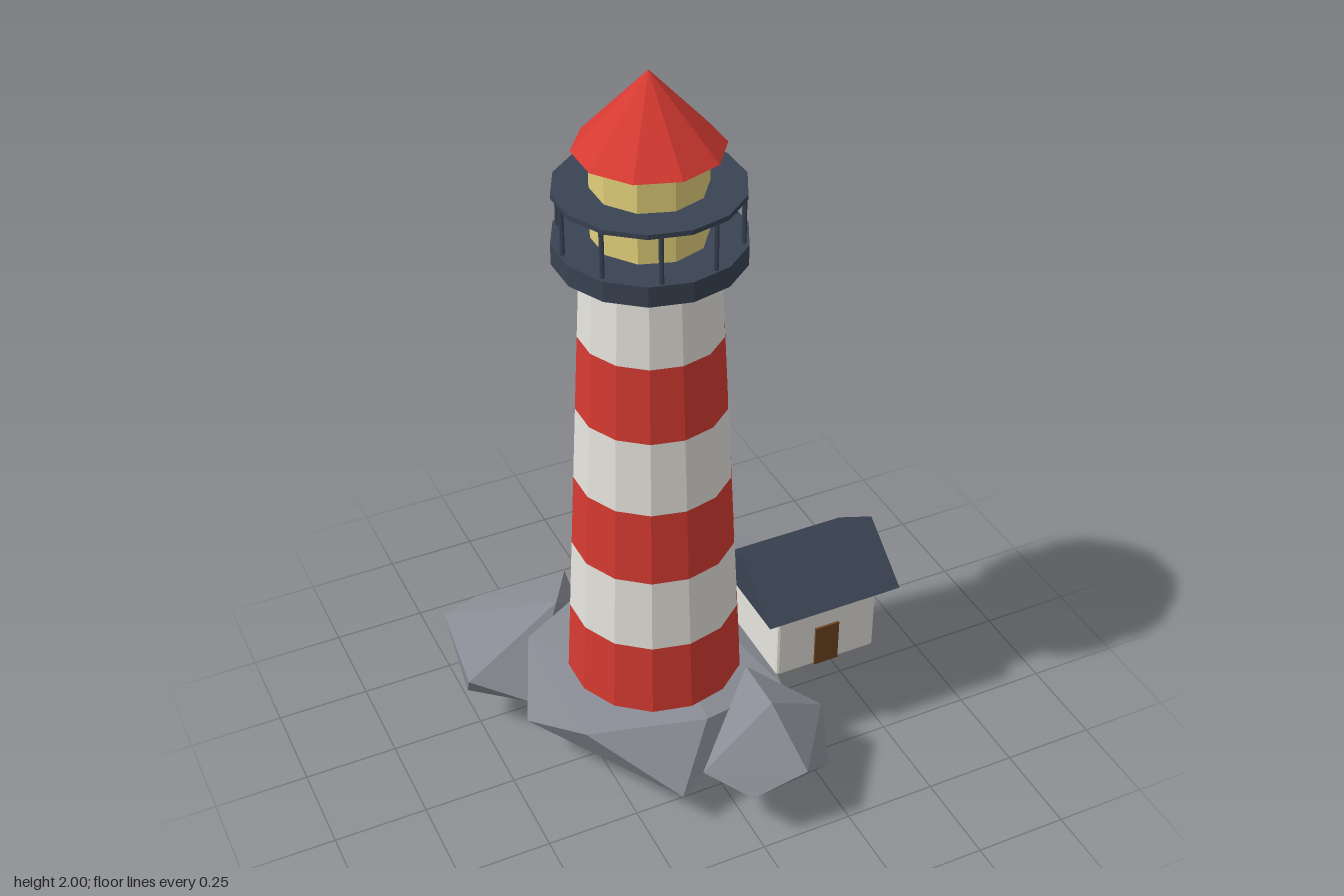
import * as THREE from 'three';
import { ConvexGeometry } from 'three/addons/geometries/ConvexGeometry.js';
import { RoundedBoxGeometry } from 'three/addons/geometries/RoundedBoxGeometry.js';

const TX = -0.07, TZ = -0.025; // tower axis

function material(name, color) {
  const m = new THREE.MeshStandardMaterial({ color });
  m.name = name;
  return m;
}

// Give a geometry one normal per face
function faceted(geometry) {
  const g = geometry.index ? geometry.toNonIndexed() : geometry;
  g.computeVertexNormals();
  return g;
}

export function createModel() {
  const model = new THREE.Group();
  model.name = 'lighthouse';
  const red = material('red paint', 0xd63a32);
  const white = material('white paint', 0xe6e4dd);
  const navy = material('dark slate', 0x3a4352);
  const glass = material('lamp glass', 0xe3d07a);
  const stone = material('grey stone', 0x8a8d95);
  const wood = material('brown wood', 0x6e451f);

  function add(parent, name, geometry, mat, x = 0, y = 0, z = 0) {
    const mesh = new THREE.Mesh(faceted(geometry), mat);
    mesh.name = name;
    mesh.position.set(x, y, z);
    parent.add(mesh);
    return mesh;
  }
  // Faceted drum on the tower axis between two heights
  function drum(parent, name, rTop, rBottom, y0, y1, sides, mat, open = false) {
    const g = new THREE.CylinderGeometry(rTop, rBottom, y1 - y0, sides, 1, open);
    return add(parent, name, g, mat, TX, (y0 + y1) / 2, TZ);
  }

  // Rocks: hulls around a few corners
  const rocks = {
    mainRock: [
      [-0.04, 0, -0.04], [-0.36, 0.29, -0.21], [0.055, 0.32, -0.415], [-0.35, 0.25, 0.16],
      [-0.43, 0.14, -0.06], [-0.16, 0.11, 0.345], [-0.05, 0.27, 0.26], [0.27, 0.22, -0.1],
      [0.2, 0.24, 0.2], [0.28, 0.12, 0.03], [0.14, 0.12, -0.36], [-0.22, 0.11, -0.34],
    ],
    backRightRock: [
      [-0.515, 0.235, -0.455], [-0.41, 0.24, -0.485], [-0.15, 0.26, -0.46], [-0.24, 0.3, -0.3],
      [-0.545, 0.22, -0.185], [-0.4, 0.15, -0.115], [-0.53, 0.13, -0.25], [-0.31, 0.06, -0.33],
      [-0.42, 0.12, -0.41], [-0.2, 0.12, -0.42], [-0.15, 0.2, -0.36],
    ],
    backLeftRock: [
      [0.06, 0.24, -0.42], [0.28, 0.23, -0.485], [0.44, 0.22, -0.385], [0.44, 0.19, -0.25],
      [0.385, 0.15, -0.12], [0.27, 0.27, -0.25], [0.4, 0.14, -0.3], [0.28, 0.11, -0.2],
      [0.25, 0.12, -0.4], [0.12, 0.14, -0.25], [0.2, 0.22, -0.12],
    ],
    frontRock: [
      [-0.12, 0.215, 0.38], [-0.02, 0.16, 0.47], [0.13, 0.2, 0.48], [0.23, 0.13, 0.42],
      [0.275, 0.21, 0.285], [0.12, 0.29, 0.145], [0.1, 0.325, 0.33], [0.01, 0.11, 0.38],
      [0.15, 0.1, 0.3], [0, 0.12, 0.22],
    ],
  };
  for (const [name, corners] of Object.entries(rocks)) {
    add(model, name, new ConvexGeometry(corners.map((c) => new THREE.Vector3(...c))), stone);
  }

  // Tapering tower in six alternating bands
  const tower = new THREE.Group();
  tower.name = 'tower';
  model.add(tower);
  const y0 = 0.28, y1 = 1.53, bands = 6;
  const radiusAt = (t) => 0.234 + (0.17 - 0.234) * t;
  for (let i = 0; i < bands; i++) {
    const a = i / bands, b = (i + 1) / bands;
    drum(tower, 'towerBand' + (i + 1), radiusAt(b), radiusAt(a),
      y0 + (y1 - y0) * a, y0 + (y1 - y0) * b, 14, i % 2 ? white : red, i > 0);
  }

  // Gallery deck, rail and posts
  const gallery = new THREE.Group();
  gallery.name = 'gallery';
  model.add(gallery);
  drum(gallery, 'deck', 0.235, 0.235, 1.53, 1.583, 14, navy);
  drum(gallery, 'rail', 0.23, 0.23, 1.703, 1.715, 14, navy);
  for (let i = 0; i < 10; i++) {
    const a = (i / 10) * Math.PI * 2;
    add(gallery, 'railPost' + (i + 1), new THREE.CylinderGeometry(0.006, 0.006, 0.13, 6), navy,
      TX + 0.22 * Math.cos(a), 1.643, TZ + 0.22 * Math.sin(a));
  }

  // Lamp room and cap
  drum(model, 'lampRoom', 0.14, 0.14, 1.58, 1.815, 10, glass);
  add(model, 'towerRoof', new THREE.ConeGeometry(0.18, 0.19, 10), red, TX, 1.905, TZ);

  // Keeper's house
  const house = new THREE.Group();
  house.name = 'house';
  model.add(house);
  add(house, 'walls', new RoundedBoxGeometry(0.295, 0.222, 0.248, 1, 0.008), white, 0.347, 0.354, 0.045);
  add(house, 'door', new THREE.BoxGeometry(0.07, 0.125, 0.009), wood, 0.347, 0.309, 0.171);
  const gable = new THREE.Shape([
    new THREE.Vector2(-0.165, 0), new THREE.Vector2(0.165, 0), new THREE.Vector2(0, 0.123),
  ]);
  const roof = new THREE.ExtrudeGeometry(gable, { depth: 0.387, bevelEnabled: false });
  roof.rotateY(-Math.PI / 2);
  add(house, 'houseRoof', roof, navy, 0.541, 0.461, 0.045);

  return model;
}
